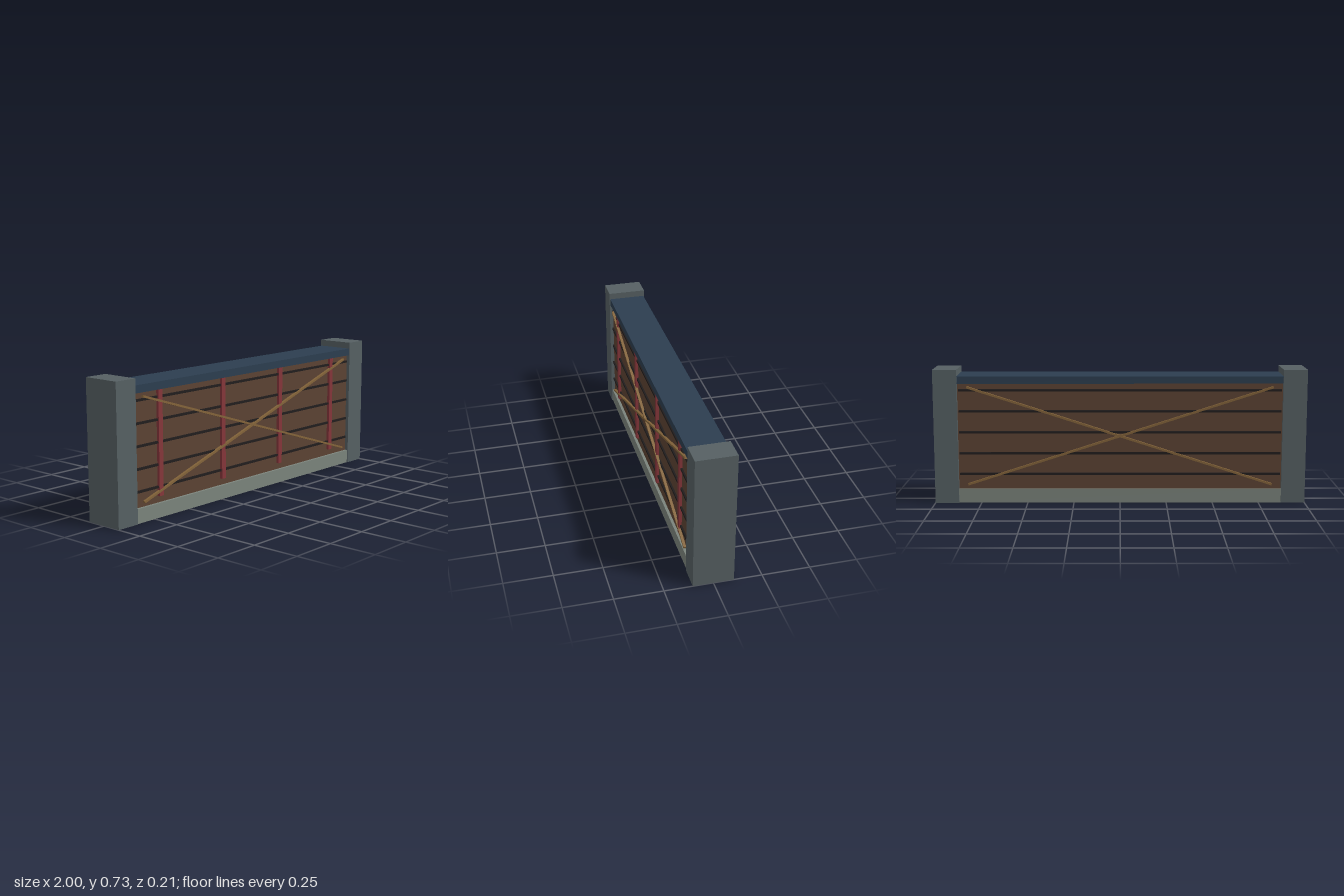
import * as THREE from 'three';

const mat = (name, color) => {
  const m = new THREE.MeshStandardMaterial({ color });
  m.name = name;
  return m;
};

export function createModel() {
  const model = new THREE.Group();
  model.name = 'wallPanel';

  const stone = mat('slate grey', 0x566063);
  const plinth = mat('pale grey green', 0x7b847c);
  const timber = mat('brown timber', 0x5c4333);
  const seam = mat('dark seam', 0x211d1d);
  const navy = mat('navy cap', 0x2c3e50);
  const red = mat('dull red', 0x85363a);
  const brass = mat('brass', 0x84643a);

  // Box given by its size and centre
  const box = (name, material, w, h, d, x, y, z) => {
    const mesh = new THREE.Mesh(new THREE.BoxGeometry(w, h, d), material);
    mesh.name = name;
    mesh.position.set(x, y, z);
    model.add(mesh);
    return mesh;
  };

  // Timber core and overhanging cap between the end posts
  box('core', timber, 1.744, 0.65, 0.17, 0, 0.325, 0);
  box('cap', navy, 1.744, 0.04, 0.2, 0, 0.67, 0);

  // End posts
  for (const side of [-1, 1]) {
    box('endPost', stone, 0.128, 0.725, 0.21, side * 0.936, 0.3625, 0);
  }

  // Plinth boards, plank seams and crossed braces on both faces
  const braceLength = Math.hypot(1.64, 0.53);
  const braceAngle = Math.atan2(0.53, 1.64);
  for (const face of [-1, 1]) {
    box('plinthBoard', plinth, 1.744, 0.075, 0.015, 0, 0.0375, face * 0.0925);
    for (let i = 0; i < 5; i++) {
      box('plankSeam', seam, 1.73, 0.012, 0.012, 0, 0.157 + i * 0.114, face * 0.088);
    }
    for (const tilt of [-1, 1]) {
      const brace = box('brace', brass, braceLength, 0.011, 0.014, 0, 0.366, face * 0.097);
      brace.rotation.z = tilt * braceAngle;
    }
  }

  // Upright battens on the front only
  for (const x of [-0.7, -0.235, 0.235, 0.7]) {
    box('batten', red, 0.028, 0.54, 0.018, x, 0.38, 0.091);
  }

  return model;
}
